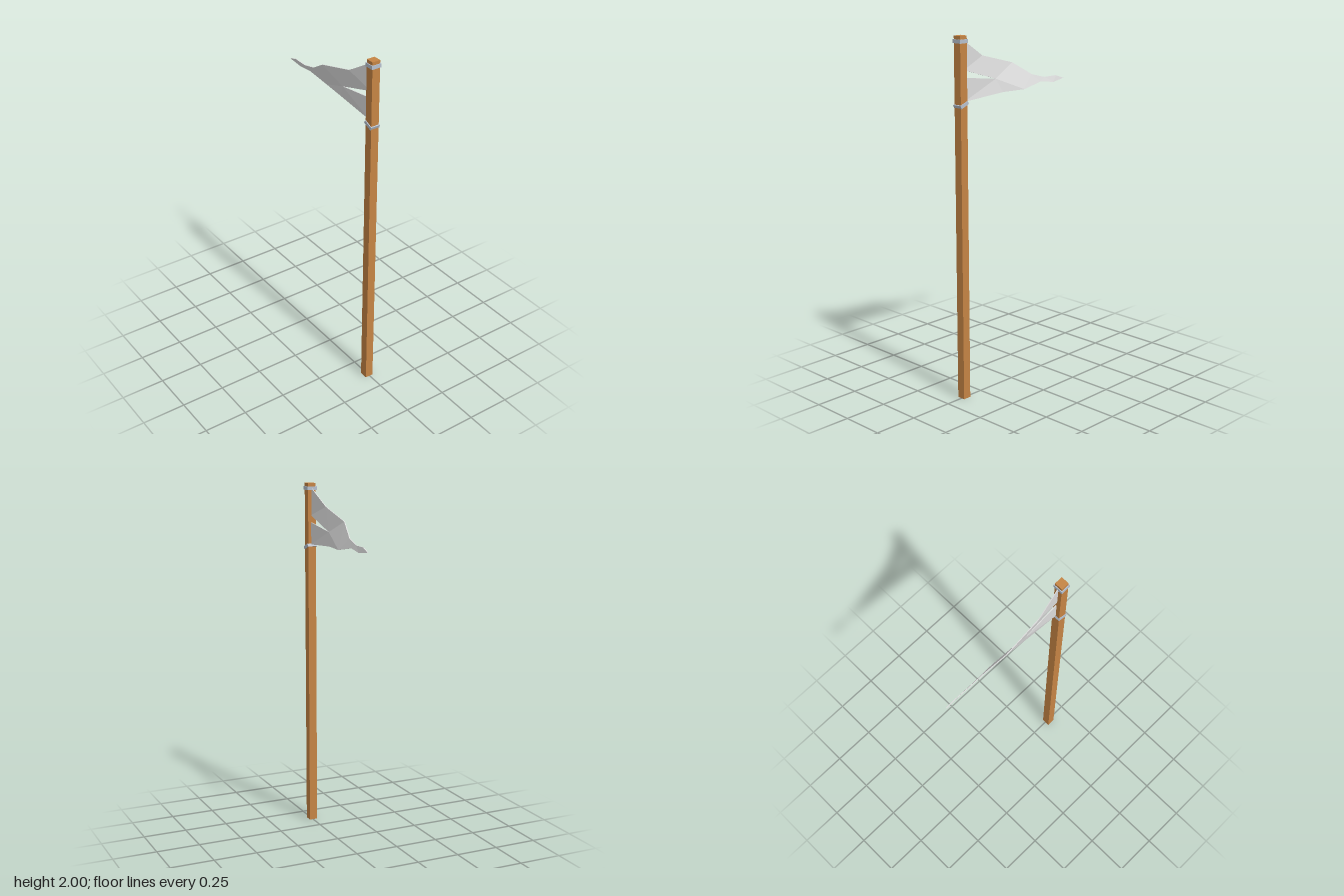
import * as THREE from 'three';

const wood = new THREE.MeshStandardMaterial({ color: 0xc58444 });
wood.name = 'wood';
const cloth = new THREE.MeshStandardMaterial({ color: 0xdcdcdc });
cloth.name = 'cloth';
const metal = new THREE.MeshStandardMaterial({ color: 0xb6c0ce });
metal.name = 'metal';

const POLE_X = -0.003, POLE_Z = 0.374;

function box(name, w, h, d, y, material) {
  const mesh = new THREE.Mesh(new THREE.BoxGeometry(w, h, d), material);
  mesh.name = name;
  mesh.position.set(POLE_X, y, POLE_Z);
  return mesh;
}

// Torn pennant: a thin folded sheet with flat facets and a closed rim
function pennantGeometry() {
  const half = 0.0025;
  // Outline, counter-clockwise seen from +x
  const outline = [
    [0, 1.655, 0.355], [0.012, 1.675, 0.08], [0.028, 1.675, -0.07], // lower edge
    [0.018, 1.7, -0.21], [0.023, 1.687, -0.31], [0.018, 1.7, -0.4],
    [0.014, 1.72, -0.34], [0.011, 1.72, -0.25], [0.003, 1.745, -0.155], // upper edge
    [-0.026, 1.82, -0.03], [-0.022, 1.88, 0.2], [-0.002, 1.975, 0.355],
    [-0.001, 1.82, 0.355], [-0.003, 1.75, 0.12], [0, 1.78, 0.355], // slit
  ];
  // Panels between the folds
  const panels = [
    [0, 1, 13, 14], [12, 13, 10, 11],
    [13, 1, 2], [13, 2, 9], [13, 9, 10],
    [2, 3, 8, 9], [3, 4, 7, 8], [4, 5, 6, 7],
  ];
  const positions = [];
  const put = (i, side) => {
    const [x, y, z] = outline[i];
    positions.push(x + side * half, y, z);
  };
  for (const p of panels) {
    for (let k = 1; k < p.length - 1; k++) {
      [p[0], p[k], p[k + 1]].forEach((i) => put(i, 1));
      [p[0], p[k + 1], p[k]].forEach((i) => put(i, -1));
    }
  }
  outline.forEach((_, a) => {
    const b = (a + 1) % outline.length;
    put(a, 1); put(a, -1); put(b, -1);
    put(a, 1); put(b, -1); put(b, 1);
  });
  const geometry = new THREE.BufferGeometry();
  geometry.setAttribute('position', new THREE.Float32BufferAttribute(positions, 3));
  geometry.computeVertexNormals();
  return geometry;
}

export function createModel() {
  const group = new THREE.Group();
  group.name = 'flagpole';

  group.add(box('pole', 0.047, 2, 0.047, 1, wood));

  // Metal bands holding the cloth; the lower one has slipped
  group.add(box('upperBand', 0.057, 0.02, 0.056, 1.972, metal));
  const lowerBand = box('lowerBand', 0.057, 0.018, 0.056, 1.643, metal);
  lowerBand.rotation.x = 0.38;
  group.add(lowerBand);

  const pennant = new THREE.Mesh(pennantGeometry(), cloth);
  pennant.name = 'pennant';
  group.add(pennant);
  return group;
}
